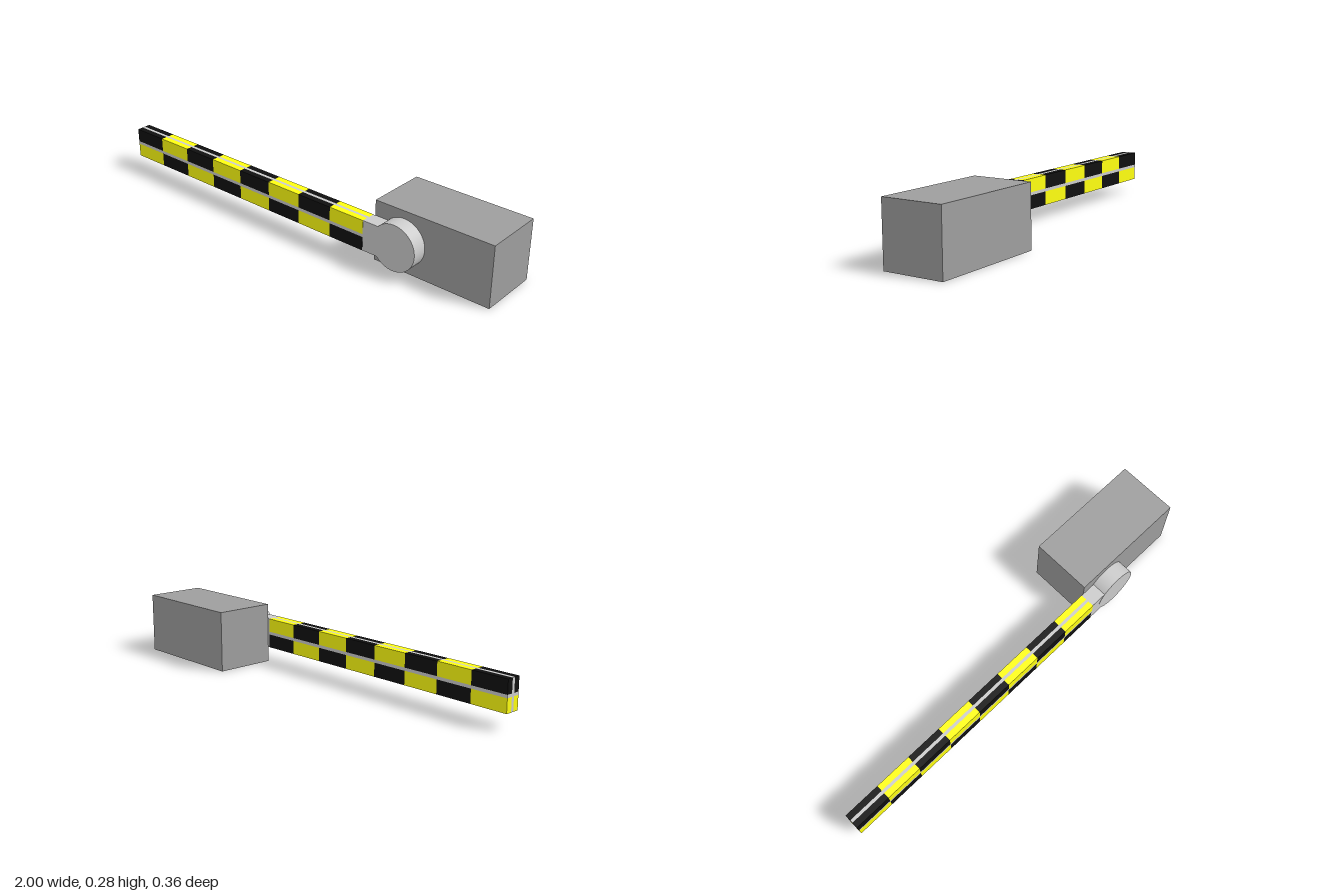
import * as THREE from 'three';

const paint = (color) => new THREE.MeshStandardMaterial({ color });

export function createModel() {
  const model = new THREE.Group();
  model.name = 'barrierArm';
  const grey = paint(0xcccccc);
  const darkGrey = paint(0x9e9e9e);
  const yellow = paint(0xffff10);
  const black = paint(0x101010);

  // Box given by its lower and upper limits on each axis
  function box(name, material, [x0, x1], [y0, y1], [z0, z1], parent = model) {
    const mesh = new THREE.Mesh(new THREE.BoxGeometry(x1 - x0, y1 - y0, z1 - z0), material);
    mesh.position.set((x0 + x1) / 2, (y0 + y1) / 2, (z0 + z1) / 2);
    mesh.name = name;
    parent.add(mesh);
    return mesh;
  }

  const axisY = 0.1425, axisZ = 0.1425; // centre line of the bar
  const halfH = 0.071, halfD = 0.0355;  // half height and half depth of the bar
  const gap = 0.007;                    // half thickness of the grey dividing webs
  const barStart = -1, barEnd = 0.42, pivotX = 0.577;

  // Drive housing behind the pivot
  box('housing', darkGrey, [0.43, 1], [0, 0.285], [-0.178, 0.107]);

  // Round pivot and the stub that carries the bar
  const pivot = new THREE.Mesh(new THREE.CylinderGeometry(0.107, 0.107, halfD * 2, 64), grey);
  pivot.name = 'pivotDisc';
  pivot.rotation.x = Math.PI / 2;
  pivot.position.set(pivotX, axisY, axisZ);
  model.add(pivot);
  // The stub ends inside the disc, 0.002 thinner so their faces never coincide
  box('barStub', grey, [barEnd, pivotX - 0.07], [axisY - halfH, axisY + halfH],
    [axisZ - halfD + 0.001, axisZ + halfD - 0.001]);

  // Cross-shaped grey core that separates the painted strips
  const bar = new THREE.Group();
  bar.name = 'stripedBar';
  model.add(bar);
  box('horizontalWeb', grey, [barStart, barEnd], [axisY - gap, axisY + gap],
    [axisZ - halfD, axisZ + halfD], bar);
  for (const s of [-1, 1]) {
    const ys = [axisY + s * gap, axisY + s * halfH].sort((a, b) => a - b);
    box(s > 0 ? 'upperWeb' : 'lowerWeb', grey, [barStart, barEnd], ys,
      [axisZ - gap, axisZ + gap], bar);
  }

  // Four strips of alternating painted blocks, upper and lower out of step
  const count = 8;
  const step = (barEnd - barStart) / count;
  for (let i = 0; i < count; i++) {
    for (const sy of [-1, 1]) {
      for (const sz of [-1, 1]) {
        const x0 = barStart + i * step;
        const ys = [axisY + sy * gap, axisY + sy * halfH].sort((a, b) => a - b);
        const zs = [axisZ + sz * gap, axisZ + sz * halfD].sort((a, b) => a - b);
        const isBlack = (i % 2 === 0) === (sy > 0);
        box(isBlack ? 'blackBlock' : 'yellowBlock', isBlack ? black : yellow,
          [x0, x0 + step], ys, zs, bar);
      }
    }
  }
  return model;
}
